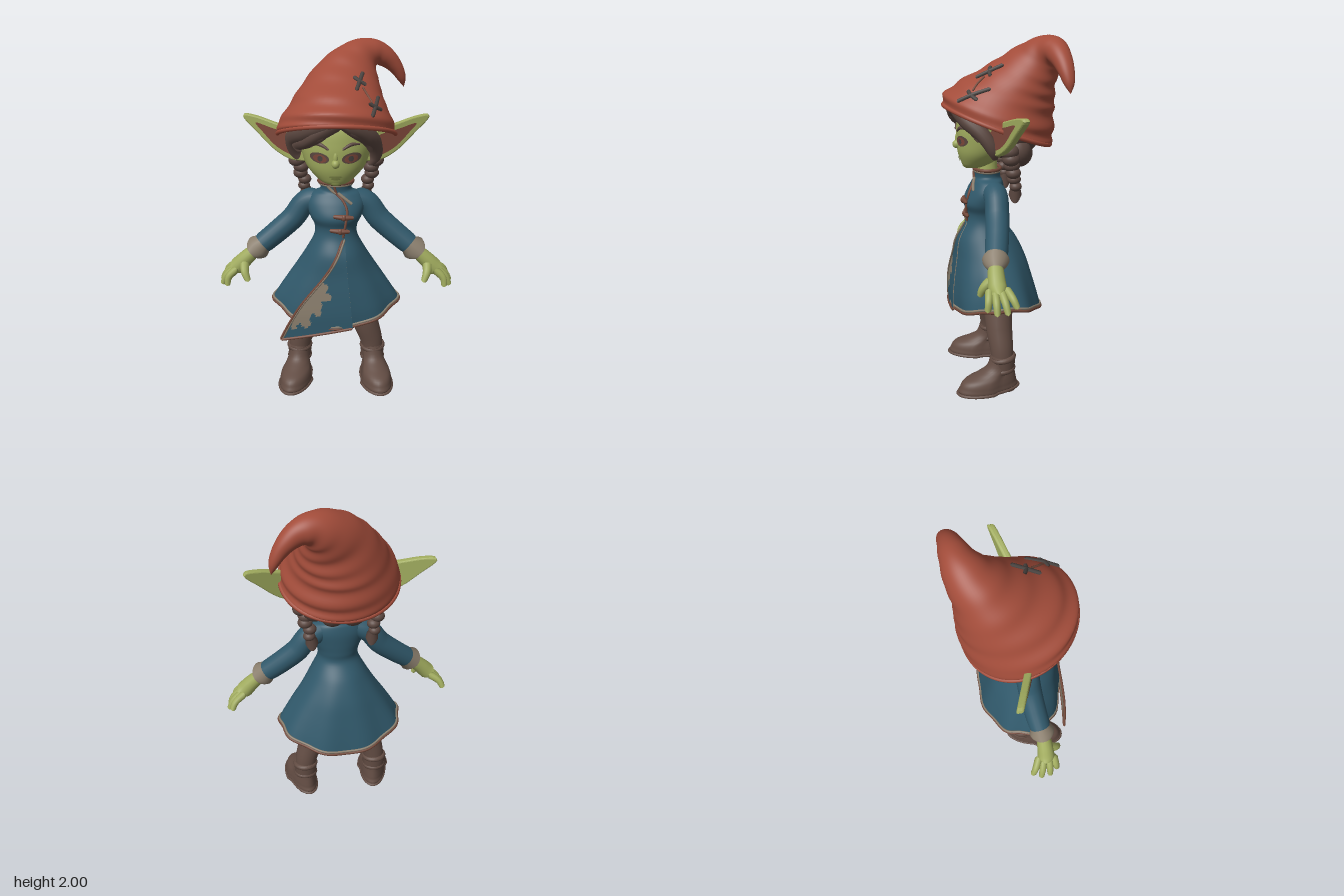
import * as THREE from 'three';

const mat = (name, color, side = THREE.FrontSide) => {
  const m = new THREE.MeshStandardMaterial({ color, side });
  m.name = name;
  return m;
};
const M = {
  hat: mat('hat red', 0xa24c3a, THREE.DoubleSide),
  skin: mat('green skin', 0xa0ab5e),
  hair: mat('brown hair', 0x5c4841),
  coat: mat('teal cloth', 0x30586a, THREE.DoubleSide),
  boot: mat('brown leather', 0x624c43),
  tan: mat('worn tan', 0x8a7e6d, THREE.DoubleSide),
  trim: mat('rust trim', 0x74493a),
  thread: mat('dark thread', 0x4a4441),
  ear: mat('inner ear', 0x7e483b),
  lip: mat('lip green', 0x858e4c),
};

// Catmull-Rom interpolation through rows of numbers
function rowAt(rows, t) {
  const f = t * (rows.length - 1), i = Math.min(Math.floor(f), rows.length - 2), w = f - i;
  const [a, b, c, d] = [-1, 0, 1, 2].map(k => rows[THREE.MathUtils.clamp(i + k, 0, rows.length - 1)]);
  return b.map((_, k) => b[k] + 0.5 * w * (c[k] - a[k] + w * (2 * a[k] - 5 * b[k] + 4 * c[k] - d[k]
    + w * (3 * (b[k] - c[k]) + d[k] - a[k]))));
}

// Skin over elliptical sections [x, y, z, rx, rz, pitch, roll], bottom to top
function loft(rows, n, seg, rule = () => {}) {
  const pos = [], idx = [], p = new THREE.Vector3(), e = new THREE.Euler();
  for (let i = 0; i <= n; i++) {
    const [x, y, z, rx, rz, pitch = 0, roll = 0] = rowAt(rows, i / n);
    for (let j = 0; j < seg; j++) {
      const a = (j / seg) * Math.PI * 2;
      p.set(Math.sin(a) * rx, 0, Math.cos(a) * rz);
      rule(p, a, i / n, y);
      p.applyEuler(e.set(-pitch, 0, -roll, 'ZYX'));
      pos.push(p.x + x, p.y + y, p.z + z);
      const k = i * seg + j, r = i * seg + (j + 1) % seg;
      if (i < n) idx.push(k, r, r + seg, k, r + seg, k + seg);
    }
  }
  const g = new THREE.BufferGeometry();
  g.setAttribute('position', new THREE.Float32BufferAttribute(pos, 3));
  g.setIndex(idx);
  g.computeVertexNormals();
  return g;
}

// Round-ended tube of changing radius through points [x, y, z, r]
function sweep(pts, n = 24, seg = 12) {
  const curve = new THREE.CatmullRomCurve3(pts.map(p => new THREE.Vector3(p[0], p[1], p[2])));
  const g = new THREE.TubeGeometry(curve, n, 1, seg), at = g.attributes.position;
  const len = curve.getLength(), v = new THREE.Vector3();
  for (let i = 0; i <= n; i++) {
    const u = i / n, c = curve.getPointAt(u), f = curve.getUtoTmapping(u) * (pts.length - 1);
    const k = Math.min(Math.floor(f), pts.length - 2);
    let r = THREE.MathUtils.lerp(pts[k][3], pts[k + 1][3], f - k);
    const end = Math.min(1, Math.min(u, 1 - u) * len / r);
    r *= Math.sqrt(Math.max(0, 1 - (1 - end) ** 2));
    for (let j = 0; j <= seg; j++) {
      const q = i * (seg + 1) + j;
      v.fromBufferAttribute(at, q).sub(c).multiplyScalar(r).add(c);
      at.setXYZ(q, v.x, v.y, v.z);
    }
  }
  return g;
}

const ray = new THREE.Raycaster();
function frontZ(mesh, x, y, miss = 0) {
  ray.set(new THREE.Vector3(x, y, 3), new THREE.Vector3(0, 0, -1));
  const hit = ray.intersectObject(mesh)[0];
  return hit ? hit.point.z : miss;
}

export function createModel() {
  const root = new THREE.Group();
  const add = (name, geo, m) => {
    const mesh = new THREE.Mesh(geo, m);
    mesh.name = name;
    root.add(mesh);
    return mesh;
  };
  const ball = (name, m, x, y, z, rx, ry = rx, rz = rx) =>
    add(name, new THREE.SphereGeometry(1, 24, 16).scale(rx, ry, rz).translate(x, y, z), m);
  const flip = (s, pts) => pts.map(p => [p[0] * s, ...p.slice(1)]);

  // Head and neck
  const head = add('head', loft([[0, 1.272, .17, .005, .005], [0, 1.285, .165, .065, .055], [0, 1.32, .14, .115, .1],
    [0, 1.37, .12, .158, .135], [0, 1.43, .105, .182, .155], [0, 1.5, .1, .192, .16], [0, 1.6, .08, .19, .16],
    [0, 1.68, .06, .1, .1]], 36, 40), M.skin);
  add('neck', new THREE.CylinderGeometry(.055, .065, .16, 20).translate(0, 1.25, .09), M.skin);
  ball('nose', M.skin, 0, 1.41, .258, .022, .024, .025);
  ball('noseBridge', M.skin, 0, 1.44, .25, .015, .04, .018);
  ball('chin', M.skin, 0, 1.298, .2, .04, .025, .03);
  const facePlate = (name, m, cx, cy, w, h, tilt, lift) => {
    const g = new THREE.RingGeometry(.001, 1, 24, 5).scale(w, h, 1).rotateZ(tilt).translate(cx, cy, 0);
    const p = g.attributes.position;
    for (let i = 0; i < p.count; i++) p.setZ(i, frontZ(head, p.getX(i), p.getY(i)) + lift);
    g.computeVertexNormals();
    add(name, g, m);
  };
  facePlate('upperLip', M.lip, 0, 1.336, .036, .007, 0, .005);
  facePlate('lowerLip', M.lip, 0, 1.325, .026, .008, 0, .005);

  for (const s of [1, -1]) {
    // Eyes and brows
    facePlate('eyeOutline', M.hair, s * .085, 1.44, .052, .029, s * .15, .003);
    facePlate('iris', M.ear, s * .083, 1.438, .036, .022, s * .15, .005);
    facePlate('pupil', M.thread, s * .082, 1.438, .014, .016, 0, .007);
    add('eyebrow', sweep([[.035, 1.487, 0, .006], [.08, 1.512, 0, .01], [.13, 1.51, 0, .004]].map(
      ([x, y, , r]) => [s * x, y, frontZ(head, s * x, y) + .002, r])), M.hair);

    // Ears
    const bend = g => {
      const p = g.attributes.position;
      for (let i = 0; i < p.count; i++) p.setZ(i, p.getZ(i) + .08 - .35 * (Math.abs(p.getX(i)) - .17));
      g.computeVertexNormals();
      return g;
    };
    const outline = pts => new THREE.Shape(new THREE.SplineCurve(
      pts.map(p => new THREE.Vector2(p[0] * s, p[1]))).getPoints(40));
    add('ear', bend(new THREE.ExtrudeGeometry(outline([[.16, 1.39], [.25, 1.392], [.34, 1.44], [.43, 1.525], [.505, 1.602],
      [.44, 1.602], [.34, 1.575], [.25, 1.55], [.16, 1.52]]),
    { depth: .014, bevelThickness: .012, bevelSize: .008, bevelSegments: 3 })), M.skin);
    add('innerEar', bend(new THREE.ShapeGeometry(outline([[.19, 1.42], [.25, 1.415], [.33, 1.455], [.4, 1.525],
      [.44, 1.575], [.34, 1.55], [.25, 1.53], [.19, 1.5]])).translate(0, 0, .029)), M.ear);

    // Braids, each a chain of paired lumps
    for (let i = 0; i < 6; i++) {
      const t = i / 5, r = .052 - .018 * t;
      ball('braidLump', M.hair, s * (.215 - .045 * t + .014 * (i % 2)), 1.4 - .2 * t, .0 - .04 * t, r, r * .8, r);
    }
    add('braidTail', sweep(flip(s, [[.172, 1.2, -.04, .03], [.17, 1.15, -.04, .036], [.168, 1.1, -.04, .015]])), M.hair);

    // Sleeves, cuffs and hands
    add('sleeve', sweep(flip(s, [[.08, 1.165, .075, .07], [.17, 1.135, .065, .066], [.24, 1.045, .07, .066],
      [.33, .965, .085, .064], [.45, .87, .11, .06]]), 32, 20), M.coat);
    add('cuff', sweep(flip(s, [[.395, .915, .1, .066], [.44, .877, .11, .073], [.49, .835, .118, .07]]), 20, 20), M.tan);
    add('palm', sweep(flip(s, [[.46, .86, .115, .04], [.52, .805, .12, .046], [.56, .765, .12, .05],
      [.6, .735, .115, .035]]), 20, 16).translate(0, 0, 0), M.skin);
    for (const [x, y, z, k] of [[.645, .68, .03, -.04], [.662, .655, .08, -.012], [.655, .65, .135, .016], [.62, .66, .18, .042]])
      add('finger', sweep(flip(s, [[.56, .765, .12 + k, .024], [(.6 + x) / 2, (.75 + y) / 2 + .01, .12 + k + (z - .12 - k) * .6, .02],
        [x, y, z, .016]]), 16, 10), M.skin);
    add('thumb', sweep(flip(s, [[.52, .8, .14, .03], [.515, .755, .185, .023], [.495, .7, .205, .016]]), 16, 10), M.skin);

    // Legs and boots
    add('leg', sweep(flip(s, [[.11, .68, .04, .085], [.145, .48, .05, .083], [.18, .36, .05, .076], [.215, .24, .04, .066],
      [.225, .12, .035, .06]]), 30, 20), M.boot);
    const shoe = g => g.rotateY(s * .2).translate(s * .22, 0, .035);
    add('boot', shoe(loft([[0, .015, .09, .01, .01], [0, .016, .09, .088, .168], [0, .05, .09, .092, .17], [0, .085, .08, .084, .155],
      [0, .115, .045, .07, .115], [0, .15, .015, .064, .082], [0, .22, 0, .064, .07]], 28, 32,
    (p) => { if (p.z < 0) p.x *= .85; })), M.boot);
    add('sole', shoe(loft([[0, .005, .09, .005, .01], [0, .005, .09, .092, .172], [0, .025, .09, .094, .175], [0, .03, .09, .02, .03]],
      12, 32, (p) => { if (p.z < 0) p.x *= .85; })), M.boot);
    add('heel', shoe(new THREE.CylinderGeometry(.062, .062, .03, 24).translate(0, .015, -.015)), M.boot);
    for (const [y, r] of [[.13, .068], [.2, .071]])
      add('bootFold', new THREE.TorusGeometry(r - .012, .018, 10, 28).rotateX(Math.PI / 2 + .12)
        .translate(s * .222, y, .036), M.boot);
    add('bootShaft', new THREE.CylinderGeometry(.072, .068, .08, 28).translate(s * .222, .17, .036), M.boot);
  }

  // Coat from hem to collar
  const coat = add('coat', loft([[0, .455, .045, .365, .255], [0, .54, .055, .335, .245], [0, .65, .065, .285, .225], [0, .76, .075, .225, .2],
    [0, .87, .095, .165, .165], [0, .96, .108, .122, .11], [0, 1.02, .105, .12, .105], [0, 1.08, .112, .145, .115],
    [0, 1.15, .098, .16, .102], [0, 1.2, .088, .135, .083], [0, 1.225, .088, .088, .072], [0, 1.27, .09, .094, .074]],
  66, 64, (p, a, t, y) => {
    const f = THREE.MathUtils.clamp((.92 - y) / .46, 0, 1);
    const pleat = 1 + .025 * f * Math.cos(9 * a);
    p.x *= pleat;
    p.z *= pleat;
    p.y = .09 * f * f * Math.sin(a) ** 2;
  }), M.coat);
  const ring = row => Array.from({ length: 64 }, (_, j) => new THREE.Vector3().fromBufferAttribute(coat.geometry.attributes.position, row * 64 + j));
  const band = (name, row, r, m, dy = 0) => add(name, new THREE.TubeGeometry(
    new THREE.CatmullRomCurve3(ring(row), true), 160, r, 8, true).translate(0, dy, 0), m);
  band('hemTrim', 0, .009, M.trim);
  band('hemLine', 1, .007, M.tan, .004);
  band('collarTrim', 66, .01, M.trim);
  band('collarLine', 64, .007, M.tan);

  // Overlapping front flap with a worn patch, tan inside
  const edge = [[.04, .97], [-.015, .84], [-.09, .73], [-.175, .63], [-.25, .51], [-.315, .38]];
  const blots = [[-.1, .67, .045], [-.07, .71, .028], [-.125, .61, .05], [-.05, .655, .025], [-.18, .565, .045],
    [-.225, .52, .03], [-.17, .5, .03], [-.1, .56, .02], [-.24, .475, .018]];
  const NU = 36, NV = 54, P = [], cloth = [], worn = [], back = [];
  for (let v = 0; v <= NV; v++) for (let u = 0; u <= NU; u++) {
    const [xl, yl] = rowAt(edge, v / NV), w = u / NU;
    const x = THREE.MathUtils.lerp(xl, .05 + .05 * v / NV, w);
    const y = yl + w * .08 * (v / NV) ** 4;
    const mid = frontZ(coat, .0, Math.max(y, .475), .3) - .2 * x * x;
    P.push(x, y, Math.max(mid, frontZ(coat, x, y)) + .002 + .008 * (1 - w));
  }
  for (let v = 0; v < NV; v++) for (let u = 0; u < NU; u++) {
    const a = v * (NU + 1) + u, b = a + NU + 1;
    const inside = blots.some(([x, y, r]) => Math.hypot(P[a * 3] - x, P[a * 3 + 1] - y) < r);
    (inside ? worn : cloth).push(a, b, a + 1, b, b + 1, a + 1);
    back.push(a, a + 1, b, b, a + 1, b + 1);
  }
  const panel = (idx, dz) => {
    const g = new THREE.BufferGeometry();
    g.setAttribute('position', new THREE.Float32BufferAttribute(P, 3));
    g.setIndex(idx);
    g.computeVertexNormals();
    return g.translate(0, 0, dz);
  };
  const flap = panel([...cloth, ...worn], 0);
  flap.addGroup(0, cloth.length, 0);
  flap.addGroup(cloth.length, worn.length, 1);
  add('frontFlap', flap, [M.coat, M.tan]);
  add('flapLining', panel(back, -.004), M.tan);
  const flapPoint = (v, u) => P.slice((v * (NU + 1) + u) * 3, (v * (NU + 1) + u) * 3 + 3);
  const side = [0, 9, 18, 27, 36, 45, 54].map(v => flapPoint(v, 0));
  add('flapEdgeTrim', sweep(side.map(p => [...p, .007]), 60, 8), M.trim);
  add('flapEdgeLine', sweep(side.map(([x, y, z]) => [x + .012, y + .006, z + .001, .006]), 60, 8), M.tan);
  add('flapHemTrim', sweep([0, 9, 18, 27, 36].map(u => [...flapPoint(NV, u), .008]), 40, 8), M.trim);

  // Chest edging and toggles
  const chest = (pts, r) => sweep(pts.map(([x, y]) => [x, y, frontZ(coat, x, y) + .003, r]), 40, 8);
  add('chestTrim', chest([[-.01, 1.26], [.005, 1.215], [.04, 1.18], [.062, 1.13], [.055, 1.06], [.04, .97]], .007), M.trim);
  add('chestLine', chest([[.01, 1.22], [.05, 1.19], [.09, 1.16]], .009), M.tan);
  add('collarEdge', chest([[-.05, 1.262], [-.02, 1.23], [.005, 1.215]], .008), M.tan);
  for (const [x, y] of [[.045, 1.1], [.025, 1.015]]) {
    const z = frontZ(coat, x, y) + .012;
    add('toggle', sweep([[x - .06, y + .003, z - .008, .01], [x, y, z, .016], [x + .055, y - .004, z - .008, .01]]), M.trim);
    ball('toggleKnot', M.trim, x, y, z + .006, .014, .018, .012);
  }

  // Hair: back mass, nape lumps and front locks
  ball('hairBack', M.hair, 0, 1.51, -.03, .225, .19, .19);
  for (const x of [-.15, -.05, .06, .15])
    ball('napeLump', M.hair, x, 1.37 - .02 * Math.cos(x * 20), -.1 + Math.abs(x) * .3, .075, .08, .075);
  [
    [[.07, 1.67, .23, .05], [-.05, 1.625, .258, .055], [-.16, 1.575, .21, .062], [-.22, 1.52, .13, .052], [-.22, 1.44, .08, .04], [-.19, 1.37, .06, .02]],
    [[.03, 1.65, .25, .05], [-.07, 1.59, .262, .045], [-.15, 1.53, .225, .042], [-.2, 1.49, .165, .035], [-.19, 1.45, .16, .012]],
    [[-.02, 1.63, .255, .04], [-.08, 1.56, .265, .028], [-.13, 1.515, .235, .022], [-.12, 1.5, .245, .01]],
    [[.0, 1.67, .23, .05], [.08, 1.62, .25, .052], [.16, 1.56, .21, .05], [.208, 1.49, .14, .04], [.215, 1.41, .09, .034], [.18, 1.35, .07, .015]],
    [[.03, 1.64, .25, .04], [.1, 1.585, .25, .036], [.165, 1.52, .195, .028], [.19, 1.45, .155, .012]],
  ].forEach(pts => add('hairLock', sweep(pts, 36, 14), M.hair));

  // Drooping hat with soft folds
  const hat = add('hat', loft([[0, 1.515, .03, .322, .315, .36, 0], [0, 1.575, .025, .315, .322, .34, 0], [.008, 1.665, -.018, .265, .275, .32, 0],
    [.03, 1.745, -.09, .22, .208, .42, .08], [.065, 1.825, -.145, .172, .152, .5, .25], [.115, 1.893, -.2, .118, .115, .5, .55],
    [.195, 1.925, -.235, .08, .08, .4, 1.2], [.27, 1.9, -.25, .06, .06, .2, 1.9], [.335, 1.84, -.265, .042, .045, .1, 2.3],
    [.375, 1.77, -.275, .025, .028, 0, 2.6], [.388, 1.72, -.28, .001, .001, 0, 2.7]], 90, 56, (p, a, t) => {
    const k = 1 + .022 * Math.sin(t * 62 + 1.6 * Math.sin(a + .6)) * (.6 + .4 * Math.cos(a * 2 + 1)) * (t < .65 ? 1 : .4);
    p.x *= k;
    p.z *= k;
  }), M.hat);
  const brim = Array.from({ length: 56 }, (_, j) => new THREE.Vector3().fromBufferAttribute(hat.geometry.attributes.position, j));
  add('brimRoll', new THREE.TubeGeometry(new THREE.CatmullRomCurve3(brim, true), 112, .012, 8, true), M.hat);

  // Crossed stitches on the hat
  const stitch = (name, pts, r, m) => add(name, sweep(pts.map(([x, y]) => [x, y, frontZ(hat, x, y, .1) + .006, r]), 20, 8), m);
  for (const [x, y] of [[.125, 1.815], [.205, 1.7]]) {
    stitch('stitch', [[x - .035, y + .022], [x, y], [x + .035, y - .022]], .011, M.thread);
    stitch('stitch', [[x - .018, y - .035], [x, y], [x + .018, y + .035]], .011, M.thread);
  }
  stitch('hatSeam', [[.14, 1.79], [.165, 1.755], [.19, 1.72]], .006, M.trim);
  return root;
}
